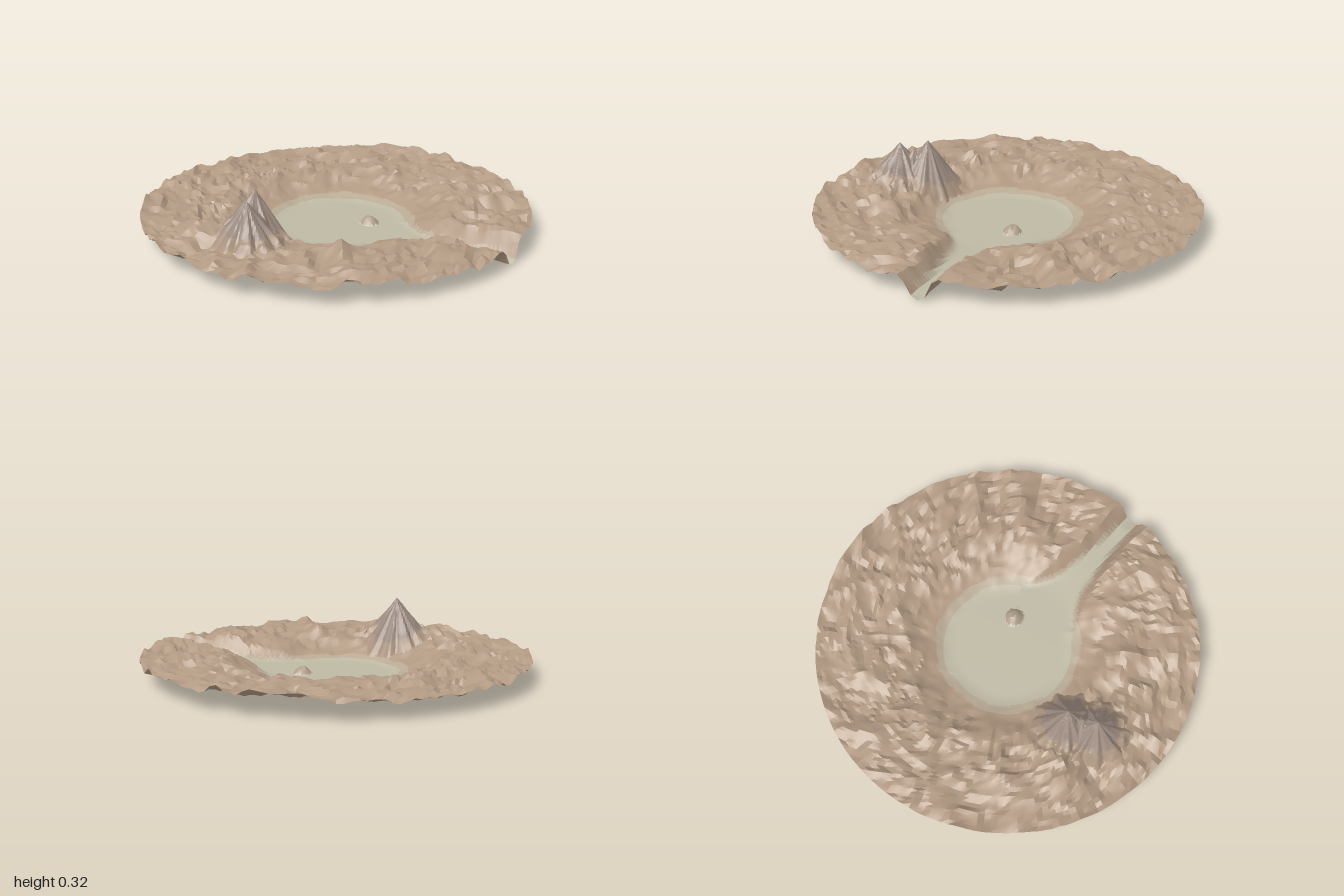
import * as THREE from 'three';
import { toCreasedNormals } from 'three/addons/utils/BufferGeometryUtils.js';

const { smoothstep, lerp, clamp } = THREE.MathUtils;

// Seeded value noise in -1..1
function hash(i, j) {
  const s = Math.sin(i * 127.1 + j * 311.7 + 4.7) * 43758.5453;
  return (s - Math.floor(s)) * 2 - 1;
}
function noise(x, z) {
  const i = Math.floor(x), j = Math.floor(z);
  const u = smoothstep(x - i, 0, 1), v = smoothstep(z - j, 0, 1);
  return lerp(
    lerp(hash(i, j), hash(i + 1, j), u),
    lerp(hash(i, j + 1), hash(i + 1, j + 1), u), v);
}
// Noise on a turned grid, so its cells do not line up with the axes
function turned(x, z, frequency) {
  return noise((x * 0.8 - z * 0.6) * frequency, (x * 0.6 + z * 0.8) * frequency);
}

// Rugged badlands: broad swells, sharp ridges and small crags
function rugged(x, z) {
  const swell = turned(x, z, 4.5) * 0.016;
  const ridge = (0.4 - Math.abs(turned(x + 3, z + 1, 7))) * 0.04;
  const crag = (0.4 - Math.abs(turned(x, z + 5, 15))) * 0.032;
  return 0.098 + swell + ridge + crag + turned(x, z, 32) * 0.01;
}

// 0 on the dry lake and its outlet channel, 1 on the high ground
function upland(x, z) {
  const r = Math.hypot(x - 0.015, z) + noise(x * 6, z * 6) * 0.015;
  const bowl = smoothstep(r, 0.28, 0.62);
  if (x <= 0) return bowl;
  const mouth = clamp((0.52 - x) / 0.2, 0, 1);
  const width = 0.012 + 0.07 * clamp(1 - x, 0, 0.6) + 0.1 * mouth * mouth;
  const wall = 0.085 + 0.08 * clamp((0.7 - x) / 0.3, 0, 1);
  return Math.min(bowl, smoothstep(Math.abs(z), width, width + wall));
}

// Cones given as x, z, rise, radius
const SUMMITS = [
  [-0.12, 0.52, 0.238, 0.175],
  [-0.09, 0.59, 0.175, 0.15],
  [-0.06, 0.66, 0.208, 0.175],
];
const HILLS = [
  [-0.33, 0.66, 0.075, 0.14],
  [0.36, 0.5, 0.035, 0.14],
];
function cones(list, x, z) {
  let h = 0;
  list.forEach(([px, pz, rise, radius]) => {
    const dx = x - px, dz = z - pz, a = Math.atan2(dz, dx);
    const flute = 1 + 0.07 * Math.sin(a * 9 + px * 20) + 0.04 * Math.sin(a * 17);
    const t = Math.max(0, 1 - Math.hypot(dx, dz) / (radius * flute));
    h = Math.max(h, rise * Math.pow(t, 1.1));
  });
  return h;
}
const mountain = (x, z) => cones(SUMMITS, x, z);

// Lone boulder standing up from the lake bed
function boulder(x, z) {
  const d = Math.hypot(x - 0.15, z + 0.09) / 0.048;
  if (d >= 1) return 0;
  return 0.034 * Math.pow(1 - d * d, 0.7) * (1 + 0.2 * noise(x * 60, z * 60));
}

function landHeight(x, z) {
  const m = upland(x, z);
  const calm = clamp(mountain(x, z) / 0.12, 0, 0.8);
  const outlet = 0.014 * smoothstep(x, 0.35, 0.65) * (1 - smoothstep(x, 0.93, 1));
  return lerp(outlet, lerp(rugged(x, z), 0.1, calm), m)
    + cones(HILLS, x, z) + boulder(x, z);
}
const mountainHeight = (x, z) => landHeight(x, z) + mountain(x, z);

// Disc of rings (closer together near the middle) lifted to a height function
function reliefDisc(cx, cz, radius, segments, rings, spread, height) {
  const g = new THREE.RingGeometry(0, 1, segments, rings);
  g.rotateX(-Math.PI / 2);
  g.deleteAttribute('uv');
  const p = g.attributes.position;
  for (let i = 0; i < p.count; i++) {
    const r = Math.hypot(p.getX(i), p.getZ(i));
    const s = r > 0 ? radius * Math.pow(r, spread - 1) : 0;
    const x = cx + p.getX(i) * s, z = cz + p.getZ(i) * s;
    p.setXYZ(i, x, height(x, z), z);
  }
  return toCreasedNormals(g, 0.42);
}

const COLORS = {
  lakeBed: 0xbeb9a4,
  shore: 0xb9ab95,
  badlands: 0xb29a83,
  boulder: 0xb09f8a,
  foothill: 0xab9480,
  mountain: 0x9c8b80,
};
function landZone(x, z) {
  if (boulder(x, z) > 0.003) return 'boulder';
  const m = upland(x, z);
  return m < 0.08 ? 'lakeBed' : m < 0.22 ? 'shore' : 'badlands';
}
function mountainZone(x, z) {
  const h = mountain(x, z);
  return h > 0.06 ? 'mountain' : h > 0.003 ? 'foothill' : null;
}

// One mesh per zone name; triangles without a zone are dropped
function addZones(model, geometry, zoneOf) {
  const p = geometry.attributes.position, n = geometry.attributes.normal;
  const zones = {};
  for (let i = 0; i < p.count; i += 3) {
    const x = (p.getX(i) + p.getX(i + 1) + p.getX(i + 2)) / 3;
    const z = (p.getZ(i) + p.getZ(i + 1) + p.getZ(i + 2)) / 3;
    const name = zoneOf(x, z);
    if (!name) continue;
    const zone = (zones[name] ??= { pos: [], nor: [] });
    for (let k = i; k < i + 3; k++) {
      zone.pos.push(p.getX(k), p.getY(k), p.getZ(k));
      zone.nor.push(n.getX(k), n.getY(k), n.getZ(k));
    }
  }
  Object.entries(zones).forEach(([name, { pos, nor }]) => {
    const g = new THREE.BufferGeometry();
    g.setAttribute('position', new THREE.Float32BufferAttribute(pos, 3));
    g.setAttribute('normal', new THREE.Float32BufferAttribute(nor, 3));
    const mesh = new THREE.Mesh(g, new THREE.MeshStandardMaterial({
      color: COLORS[name], side: THREE.DoubleSide,
    }));
    mesh.name = name;
    model.add(mesh);
  });
}

export function createModel() {
  const model = new THREE.Group();
  model.name = 'craterLandscape';
  // Land with lake bed, outlet channel and badlands
  addZones(model, reliefDisc(0, 0, 1, 180, 58, 1.35, landHeight), landZone);
  // Twin-peaked mountain standing on the land
  addZones(model, reliefDisc(-0.09, 0.59, 0.3, 120, 44, 1, mountainHeight), mountainZone);
  return model;
}
